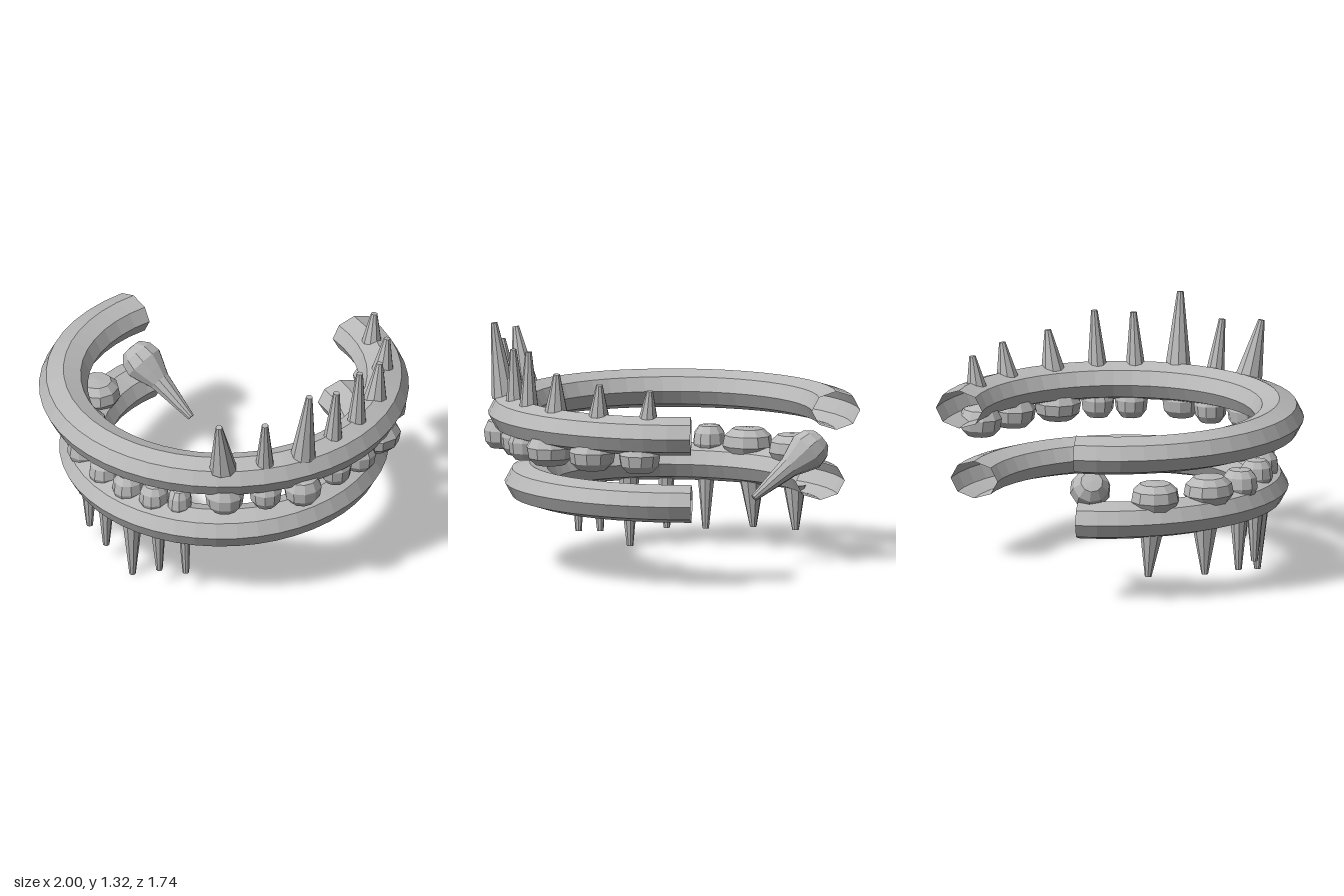
import * as THREE from 'three';

const grey = new THREE.MeshStandardMaterial({ color: 0xb9b9b9, flatShading: true, side: THREE.DoubleSide });
grey.name = 'plain grey';

function add(parent, geometry, name) {
  const mesh = new THREE.Mesh(geometry, grey);
  mesh.name = name;
  parent.add(mesh);
  return mesh;
}

// open horseshoe tube with an octagonal section and uncapped ends
function gumArch(a, b, zc, y, halfW, halfH, overrun) {
  const n = 36, sides = 8, pos = [], idx = [];
  for (let i = 0; i <= n; i++) {
    const t = -overrun + (Math.PI + 2 * overrun) * i / n;
    // the end sections are turned slightly towards the sides
    const d = t < 0 ? t * 0.85 : t > Math.PI ? Math.PI + (t - Math.PI) * 0.85 : t;
    for (let j = 0; j < sides; j++) {
      const p = j / sides * Math.PI * 2, r = halfW * Math.cos(p);
      pos.push(a * Math.cos(t) + r * Math.cos(d), y + halfH * Math.sin(p), zc + b * Math.sin(t) + r * Math.sin(d));
      if (i < n) {
        const k = i * sides + j, l = i * sides + (j + 1) % sides;
        idx.push(k, l, k + sides, l, l + sides, k + sides);
      }
    }
  }
  const g = new THREE.BufferGeometry();
  g.setAttribute('position', new THREE.Float32BufferAttribute(pos, 3));
  g.setIndex(idx);
  g.computeVertexNormals();
  return g;
}

// unit crown, biting face towards -y
const crownShape = new THREE.LatheGeometry(
  [[0, -1], [0.62, -0.92], [0.92, -0.5], [1, 0.15], [0.78, 0.7], [0, 1]].map(p => new THREE.Vector2(...p)), 10);

// tapered root from base to tip
function root(parent, base, tip, r0, r1) {
  const dir = tip.clone().sub(base);
  const mesh = add(parent, new THREE.CylinderGeometry(r1, r0, dir.length(), 9), 'root');
  mesh.position.copy(base).addScaledVector(dir, 0.5);
  mesh.quaternion.setFromUnitVectors(new THREE.Vector3(0, 1, 0), dir.normalize());
}

// rows: crown x, z, half width along arch, half depth, root base x, z, radius, tip x, y, z
const upperTeeth = [
  [0.16, 0.76, 0.105, 0.09, 0.155, 0.78, 0.075, 0.145, 1.23, 0.855],
  [0.37, 0.67, 0.09, 0.09, 0.37, 0.70, 0.05, 0.38, 1.2, 0.75],
  [0.56, 0.60, 0.105, 0.10, 0.56, 0.58, 0.07, 0.6, 1.325, 0.62],
  [0.70, 0.37, 0.09, 0.09, 0.69, 0.39, 0.053, 0.71, 1.215, 0.39],
  [0.80, 0.22, 0.09, 0.10, 0.79, 0.21, 0.053, 0.805, 1.23, 0.2],
  [0.86, 0.0, 0.13, 0.135, 0.85, -0.035, 0.065, 0.87, 1.14, -0.055],
  [0.85, -0.29, 0.125, 0.13, 0.84, -0.33, 0.06, 0.86, 1.11, -0.35],
  [0.76, -0.55, 0.115, 0.12, 0.735, -0.59, 0.055, 0.745, 1.09, -0.61],
];
const lowerTeeth = [
  [-0.11, 0.62, 0.065, 0.08, -0.085, 0.61, 0.033, -0.08, 0.11, 0.6],
  [-0.255, 0.60, 0.08, 0.085, -0.235, 0.59, 0.043, -0.23, 0.095, 0.575],
  [-0.41, 0.52, 0.085, 0.09, -0.39, 0.51, 0.058, -0.39, 0.003, 0.5],
  [-0.56, 0.39, 0.085, 0.09, -0.555, 0.385, 0.047, -0.555, 0.095, 0.38],
  [-0.70, 0.20, 0.09, 0.10, -0.68, 0.205, 0.047, -0.675, 0.095, 0.205],
  [-0.75, -0.03, 0.14, 0.13, -0.755, -0.055, 0.068, -0.76, 0.12, -0.06],
  [-0.735, -0.36, 0.135, 0.13, -0.73, -0.38, 0.062, -0.72, 0.14, -0.395],
];

function toothRow(parent, rows, name, side, crownY, crownH, baseY) {
  rows.forEach(([cx, cz, w, d, bx, bz, r, tx, ty, tz], i) => {
    const tooth = new THREE.Group();
    tooth.name = name + (i + 1);
    parent.add(tooth);
    const crown = add(tooth, crownShape, 'crown');
    crown.position.set(cx, crownY, cz);
    crown.scale.set(d, crownH, w);
    // depth axis points away from the arch centre
    const turn = Math.atan2(-(cz + 0.15), cx);
    crown.rotation.set(side < 0 ? Math.PI : 0, side < 0 ? -turn : turn, 0);
    root(tooth, new THREE.Vector3(bx, baseY, bz), new THREE.Vector3(tx, ty, tz), r, 0.018);
  });
}

export function createModel() {
  const model = new THREE.Group();
  model.name = 'jaws';

  // gums
  add(model, gumArch(0.868, 0.882, -0.149, 0.843, 0.132, 0.105, 0.80), 'upperGum');
  add(model, gumArch(0.755, 0.813, -0.156, 0.46, 0.135, 0.103, 0.78), 'lowerGum');

  // teeth: the upper left side and the lower right side only
  toothRow(model, upperTeeth, 'upperTooth', 1, 0.725, 0.09, 0.92);
  toothRow(model, lowerTeeth, 'lowerTooth', -1, 0.575, 0.088, 0.38);

  // loose tooth lying at the back of the lower jaw
  const loose = add(model, new THREE.LatheGeometry(
    [[0, -0.1], [0.06, -0.095], [0.1, -0.05], [0.112, 0.01], [0.085, 0.08], [0.06, 0.14], [0.02, 0.4], [0, 0.4]]
      .map(p => new THREE.Vector2(...p)), 10), 'looseTooth');
  loose.position.set(-0.53, 0.62, -0.645);
  loose.quaternion.setFromUnitVectors(new THREE.Vector3(0, 1, 0), new THREE.Vector3(0.3, -0.25, 0.145).normalize());

  return model;
}
